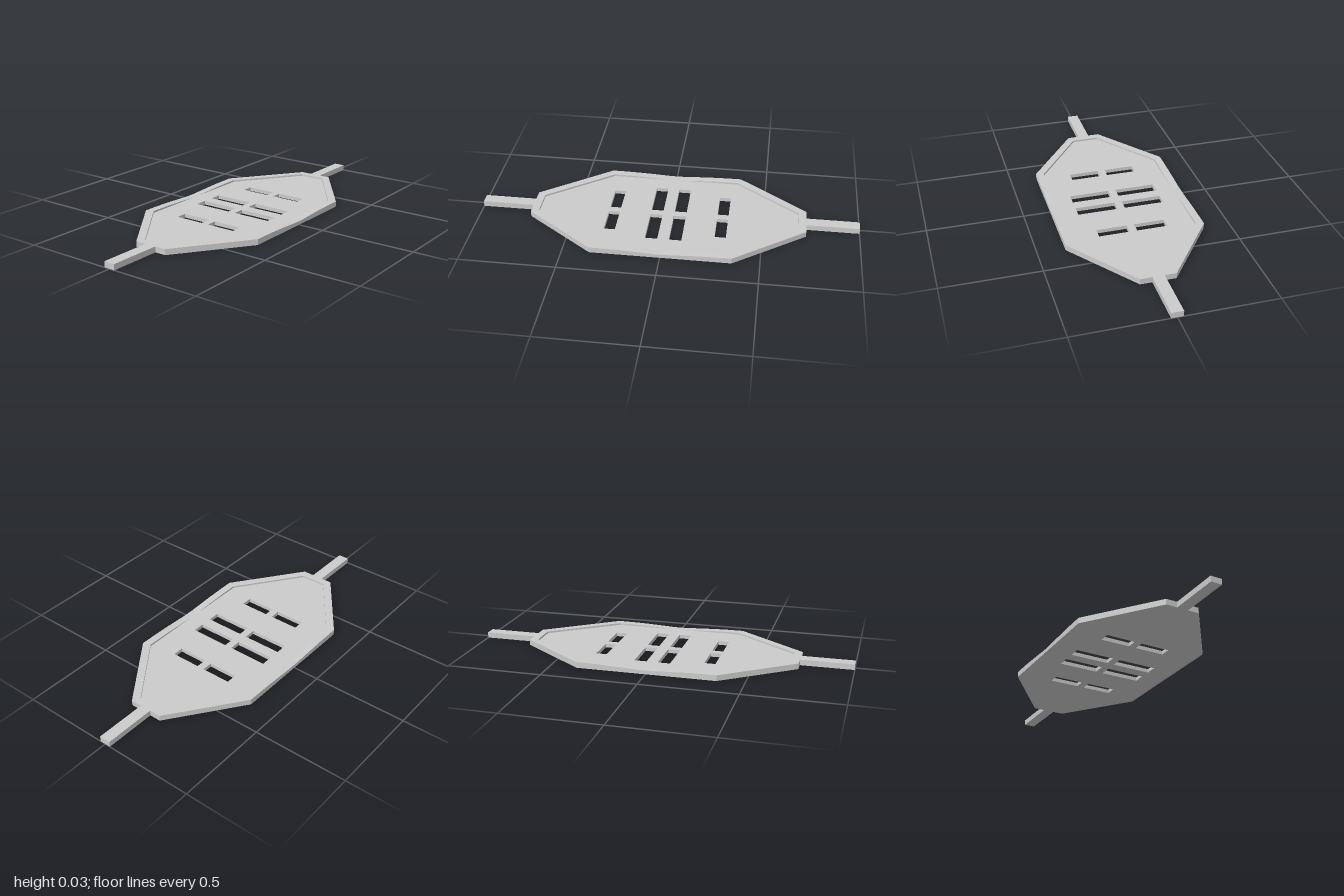
import * as THREE from 'three';

const HEIGHT = 0.03, FLOOR = 0.02;   // rim top and recessed floor top
const OUT = 0.36, IN = 0.32;         // rim half widths
const SPLIT = 0.345;                 // where side rails meet the end rims

const material = new THREE.MeshStandardMaterial({
  color: 0xcccccc, flatShading: true, side: THREE.DoubleSide,
});
const toShape = (pts) => new THREE.Shape(pts.map(([x, y]) => new THREE.Vector2(x, y)));

// Upright plate made from a plan outline
function plate(name, shape, depth) {
  const geometry = new THREE.ExtrudeGeometry(shape, { depth, bevelEnabled: false });
  geometry.rotateX(-Math.PI / 2);
  const mesh = new THREE.Mesh(geometry, material);
  mesh.name = name;
  return mesh;
}

export function createModel() {
  const group = new THREE.Group();
  group.name = 'slottedPlate';

  // Recessed floor with four mirrored pairs of slots
  const floor = toShape([
    [IN, -SPLIT], [IN, SPLIT], [0.07, 0.685], [-0.07, 0.685],
    [-IN, SPLIT], [-IN, -SPLIT], [-0.07, -0.685], [0.07, -0.685],
  ]);
  for (const [z, halfDepth, reach] of [[0.288, 0.029, 0.178], [0.062, 0.032, 0.23]]) {
    for (const sz of [-1, 1]) for (const sx of [-1, 1]) {
      const a = sz * z - halfDepth, b = sz * z + halfDepth;
      floor.holes.push(toShape([
        [sx * 0.02, a], [sx * reach, a], [sx * reach, b], [sx * 0.02, b],
      ]));
    }
  }
  group.add(plate('floor', floor, FLOOR));

  // End rims, each carrying a strap
  const half = [
    [IN, SPLIT], [OUT, SPLIT], [OUT, 0.36], [0.09, 0.725], [0.03, 0.725], [0.03, 1],
  ];
  const innerRight = [0.07, 0.685];
  const mirror = ([x, y]) => [-x, y];
  const endOutline = [
    ...half, ...half.slice().reverse().map(mirror), mirror(innerRight), innerRight,
  ];
  for (const [name, turn] of [['backEnd', 0], ['frontEnd', Math.PI]]) {
    const end = plate(name, toShape(endOutline), HEIGHT);
    end.rotation.y = turn;
    group.add(end);
  }

  // Side rails, whose tops dip down to the floor at the middle
  const profile = [[-SPLIT, 0], [SPLIT, 0], [SPLIT, HEIGHT]];
  for (let i = 5; i >= -6; i--) {
    const z = (i + 0.5) * 0.06;
    const t = (Math.abs(z) - 0.03) / 0.3;
    profile.push([z, FLOOR + (HEIGHT - FLOOR) * Math.sin(t * Math.PI / 2)]);
  }
  profile.push([-SPLIT, HEIGHT]);
  for (const [name, x] of [['leftRail', OUT], ['rightRail', -IN]]) {
    const geometry = new THREE.ExtrudeGeometry(toShape(profile), {
      depth: OUT - IN, bevelEnabled: false,
    });
    geometry.rotateY(-Math.PI / 2);
    const rail = new THREE.Mesh(geometry, material);
    rail.name = name;
    rail.position.x = x;
    group.add(rail);
  }
  return group;
}
